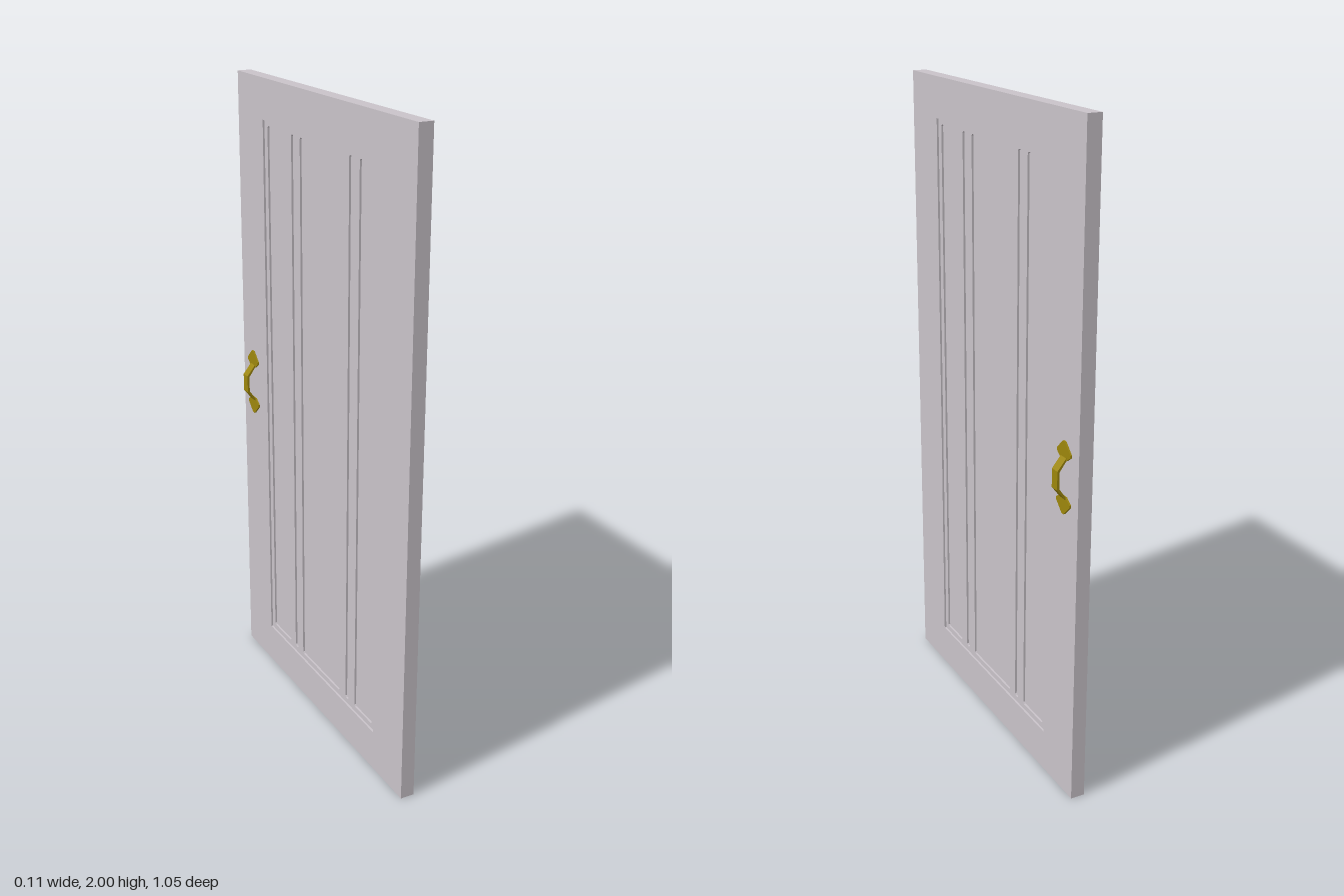
import * as THREE from 'three';

const HALF = 0.022; // half thickness of the door
const WIDTH = 0.527; // half width of the door

// Rectangle in the (z, y) plane with optionally clipped corners
function rectPoints(z0, z1, y0, y1, c = 0) {
  const p = c
    ? [[z0 + c, y0], [z1 - c, y0], [z1, y0 + c], [z1, y1 - c], [z1 - c, y1], [z0 + c, y1], [z0, y1 - c], [z0, y0 + c]]
    : [[z0, y0], [z1, y0], [z1, y1], [z0, y1]];
  return p.map(([a, b]) => new THREE.Vector2(a, b));
}

// Plate lying in the (z, y) plane, reaching from x0 to x1
function plate(points, holes, x0, x1) {
  const shape = new THREE.Shape(points);
  holes.forEach((h) => shape.holes.push(new THREE.Path(h)));
  const geo = new THREE.ExtrudeGeometry(shape, { depth: x1 - x0, bevelEnabled: false });
  return geo.rotateY(-Math.PI / 2).translate(x1, 0, 0);
}

export function createModel() {
  const paint = new THREE.MeshStandardMaterial({ color: 0xc9c3c9 });
  paint.name = 'palePaint';
  const brass = new THREE.MeshStandardMaterial({ color: 0x9c860c });
  brass.name = 'brass';

  const door = new THREE.Group();
  door.name = 'door';
  const add = (name, geo, mat, parent) => {
    const mesh = new THREE.Mesh(geo, mat);
    mesh.name = name;
    parent.add(mesh);
  };

  // Core slab forms the floor of the sunken panels
  add('core', new THREE.BoxGeometry(0.02, 2, WIDTH * 2).translate(0, 1, 0), paint, door);

  const outline = rectPoints(-WIDTH, WIDTH, 0, 2);
  const recess = rectPoints(-0.355, 0.357, 0.13, 1.876);
  const pockets = [[0.228, 0.337], [0.17, 0.19], [-0.123, 0.13], [-0.178, -0.157], [-0.335, -0.212]]
    .map(([a, b]) => rectPoints(a, b, 0.147, 1.86, 0.005));

  // Handle parts: pointed mounting plate and angular grip
  const midY = 1.008, midZ = -0.452;
  const mount = [[-0.015, 0.054], [0.015, 0.054], [0.037, 0.07], [0.037, 0.078], [0.006, 0.108], [-0.006, 0.108], [-0.037, 0.078], [-0.037, 0.07]];
  const outer = [[0.022, -0.066], [0.028, -0.061], [0.054, -0.028], [0.054, 0.028], [0.028, 0.061], [0.022, 0.066]];
  const inner = [[0.022, 0.058], [0.025, 0.056], [0.047, 0.025], [0.047, -0.025], [0.025, -0.056], [0.022, -0.058]];

  for (const side of [1, -1]) {
    const face = new THREE.Group();
    face.name = side > 0 ? 'leftFace' : 'rightFace';
    if (side < 0) {
      // Half turn, with z flipped inside so both faces match
      face.rotation.y = Math.PI;
    }
    const flip = (pts) => pts.map((p) => new THREE.Vector2(p.x * side, p.y));
    add('outerFrame', plate(outline, [flip(recess)], 0.016, HALF), paint, face);
    add('panelFrame', plate(outline, pockets.map(flip), 0.01, 0.016), paint, face);

    const handle = new THREE.Group();
    handle.name = 'handle';
    handle.position.set(0, midY, midZ * side);
    for (const end of [1, -1]) {
      const pts = mount.map(([a, b]) => new THREE.Vector2(a, b * end));
      add(end > 0 ? 'upperMount' : 'lowerMount', plate(pts, [], HALF - 0.002, 0.027), brass, handle);
    }
    const gripShape = new THREE.Shape([...outer, ...inner].map(([a, b]) => new THREE.Vector2(a, b)));
    const grip = new THREE.ExtrudeGeometry(gripShape, { depth: 0.03, bevelEnabled: false });
    add('grip', grip.translate(0, 0, -0.015), brass, handle);
    face.add(handle);
    door.add(face);
  }
  return door;
}
